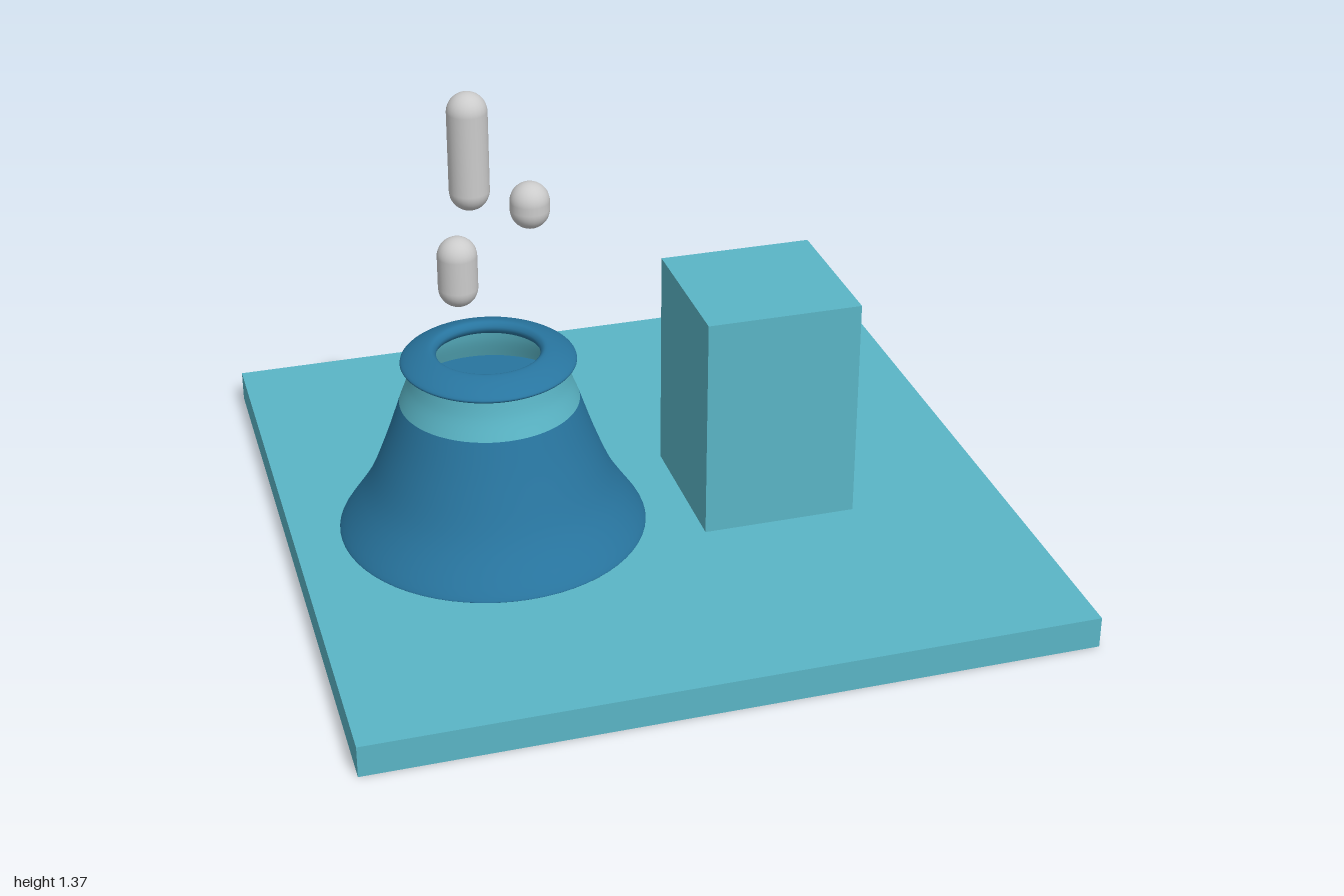
import * as THREE from 'three';

const teal = new THREE.MeshStandardMaterial({ color: 0x5ab5c6 });
const tealOpen = new THREE.MeshStandardMaterial({ color: 0x5ab5c6, side: THREE.DoubleSide });
const blue = new THREE.MeshStandardMaterial({ color: 0x28759f });
const blueOpen = new THREE.MeshStandardMaterial({ color: 0x28759f, side: THREE.DoubleSide });
const grey = new THREE.MeshStandardMaterial({ color: 0xcccccc });

function add(parent, name, geometry, material, x = 0, y = 0, z = 0) {
  const mesh = new THREE.Mesh(geometry, material);
  mesh.name = name;
  mesh.position.set(x, y, z);
  parent.add(mesh);
  return mesh;
}

// Smooth lathe from [radius, height] pairs
function lathe(points, smooth = 1) {
  let profile = points.map(([r, y]) => new THREE.Vector2(r, y));
  if (smooth > 1) profile = new THREE.SplineCurve(profile).getPoints(points.length * smooth);
  return new THREE.LatheGeometry(profile, 64);
}

export function createModel() {
  const model = new THREE.Group();
  model.name = 'coolingTowerPlant';

  // Ground slab
  add(model, 'ground', new THREE.BoxGeometry(2, 0.09, 2), teal, 0, 0.045, 0);

  // Cooling tower: flared shell, pale band and overhanging rim
  const tower = new THREE.Group();
  tower.name = 'coolingTower';
  tower.position.set(-0.435, 0, 0.06);
  model.add(tower);
  add(tower, 'towerShell', lathe([[0.43, 0.09], [0.425, 0.105], [0.35, 0.22], [0.295, 0.35], [0.25, 0.48]], 4), blueOpen);
  add(tower, 'towerBand', lathe([[0.25, 0.48], [0.228, 0.54], [0.217, 0.6]], 3), tealOpen);
  const floor = add(tower, 'towerFloor', new THREE.CircleGeometry(0.25, 64), blue, 0, 0.48, 0);
  floor.rotation.x = -Math.PI / 2;
  add(tower, 'towerRim', lathe([[0.215, 0.585], [0.235, 0.592], [0.243, 0.602], [0.225, 0.616],
    [0.195, 0.63], [0.165, 0.638], [0.15, 0.634], [0.143, 0.618], [0.16, 0.598], [0.215, 0.585]], 3), blueOpen);

  // Building with four windows on its back wall
  add(model, 'building', new THREE.BoxGeometry(0.44, 0.65, 0.44), teal, 0.34, 0.415, 0.08);
  for (const x of [0.425, 0.265])
    for (const y of [0.54, 0.4])
      add(model, 'window', new THREE.BoxGeometry(0.1, 0.055, 0.006), blue, x, y, -0.141);

  // Steam puffs: [x, bottom, top]
  const r = 0.055;
  for (const [x, bottom, top] of [[-0.46, 1.03, 1.365], [-0.295, 0.955, 1.087], [-0.5, 0.747, 0.95]])
    add(model, 'steamPuff', new THREE.CapsuleGeometry(r, top - bottom - 2 * r, 10, 24), grey, x, (bottom + top) / 2, 0);

  return model;
}
